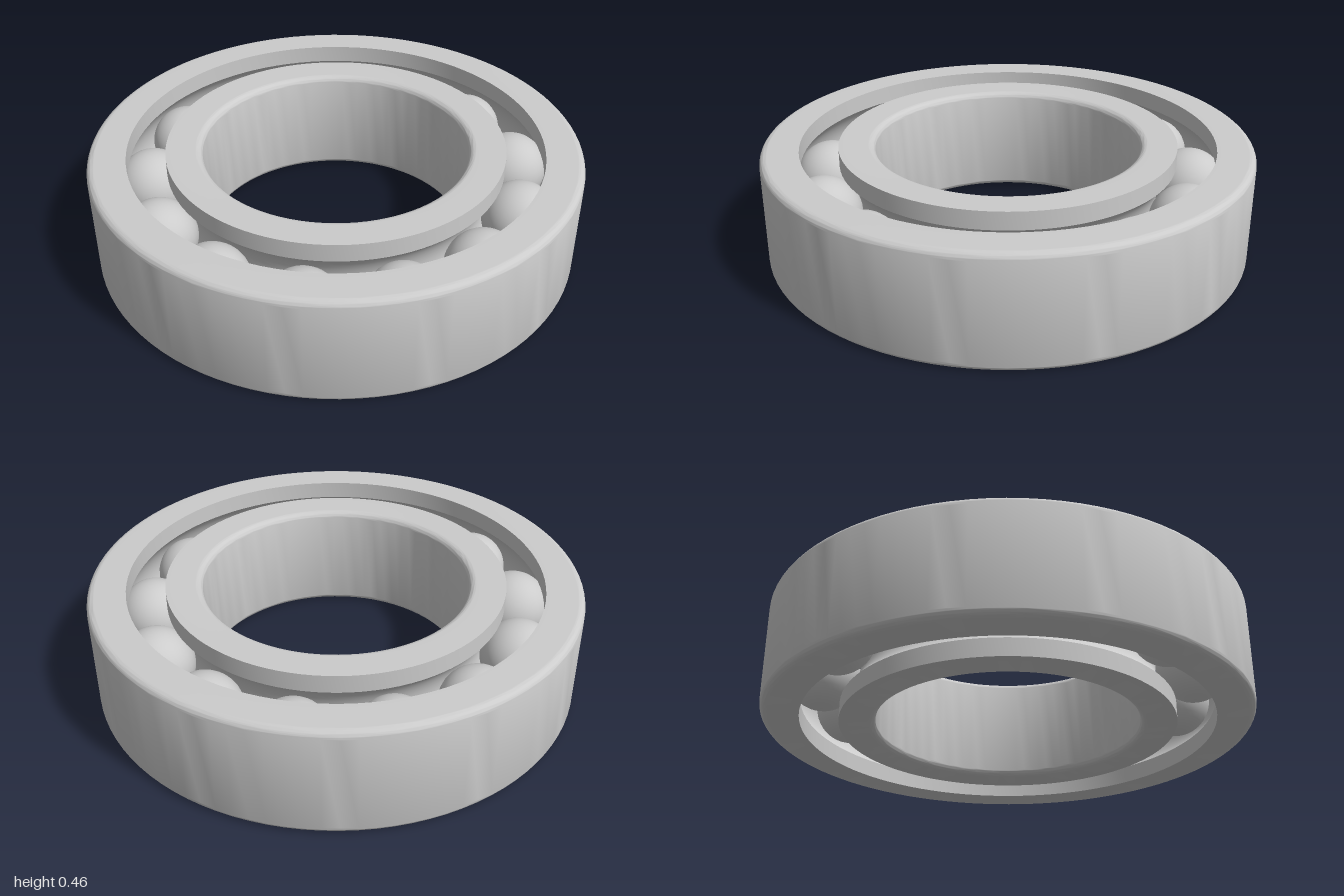
import * as THREE from 'three';
import { toCreasedNormals } from 'three/addons/utils/BufferGeometryUtils.js';

const HEIGHT = 0.46, MID = HEIGHT / 2;
const PITCH = 0.767;      // radius of the circle through the ball centres
const BALL_R = 0.152, BALL_COUNT = 13;
const WALL = 0.078;       // distance from pitch circle to the ring walls
const FILLET = 0.03;
const GROOVE_HALF = 0.156; // half height of the raceway at the wall

// Ring section drawn outward from the pitch circle; side -1 mirrors it inward
function ringGeometry(side, face) {
  const depth = BALL_R - WALL;
  const grooveR = (GROOVE_HALF ** 2 + depth ** 2) / (2 * depth);
  const grooveA = Math.asin(GROOVE_HALF / grooveR);
  const s = new THREE.Path();
  s.moveTo(WALL, 0);
  s.lineTo(face - FILLET, 0);
  s.absarc(face - FILLET, FILLET, FILLET, -Math.PI / 2, 0, false);
  s.absarc(face - FILLET, HEIGHT - FILLET, FILLET, 0, Math.PI / 2, false);
  s.lineTo(WALL, HEIGHT);
  s.absarc(BALL_R - grooveR, MID, grooveR, grooveA, -grooveA, true);
  s.lineTo(WALL, 0);
  const points = s.getPoints(8).map(p => new THREE.Vector2(PITCH + side * p.x, p.y));
  if (side < 0) points.reverse();
  return toCreasedNormals(new THREE.LatheGeometry(points, 96), Math.PI / 6);
}

export function createModel() {
  const bearing = new THREE.Group();
  bearing.name = 'ballBearing';
  const material = new THREE.MeshStandardMaterial({ color: 0xcccccc });

  // Outer and inner races
  const outer = new THREE.Mesh(ringGeometry(1, 1 - PITCH), material);
  outer.name = 'outerRing';
  const inner = new THREE.Mesh(ringGeometry(-1, PITCH - 0.54), material);
  inner.name = 'innerRing';
  bearing.add(outer, inner);

  // Evenly spaced balls
  const balls = new THREE.Group();
  balls.name = 'balls';
  const ballGeometry = new THREE.SphereGeometry(BALL_R, 32, 20);
  const start = THREE.MathUtils.degToRad(10.2);
  for (let i = 0; i < BALL_COUNT; i++) {
    const a = start + (i / BALL_COUNT) * Math.PI * 2;
    const ball = new THREE.Mesh(ballGeometry, material);
    ball.name = `ball${i + 1}`;
    ball.position.set(PITCH * Math.cos(a), MID, PITCH * Math.sin(a));
    balls.add(ball);
  }
  bearing.add(balls);
  return bearing;
}
